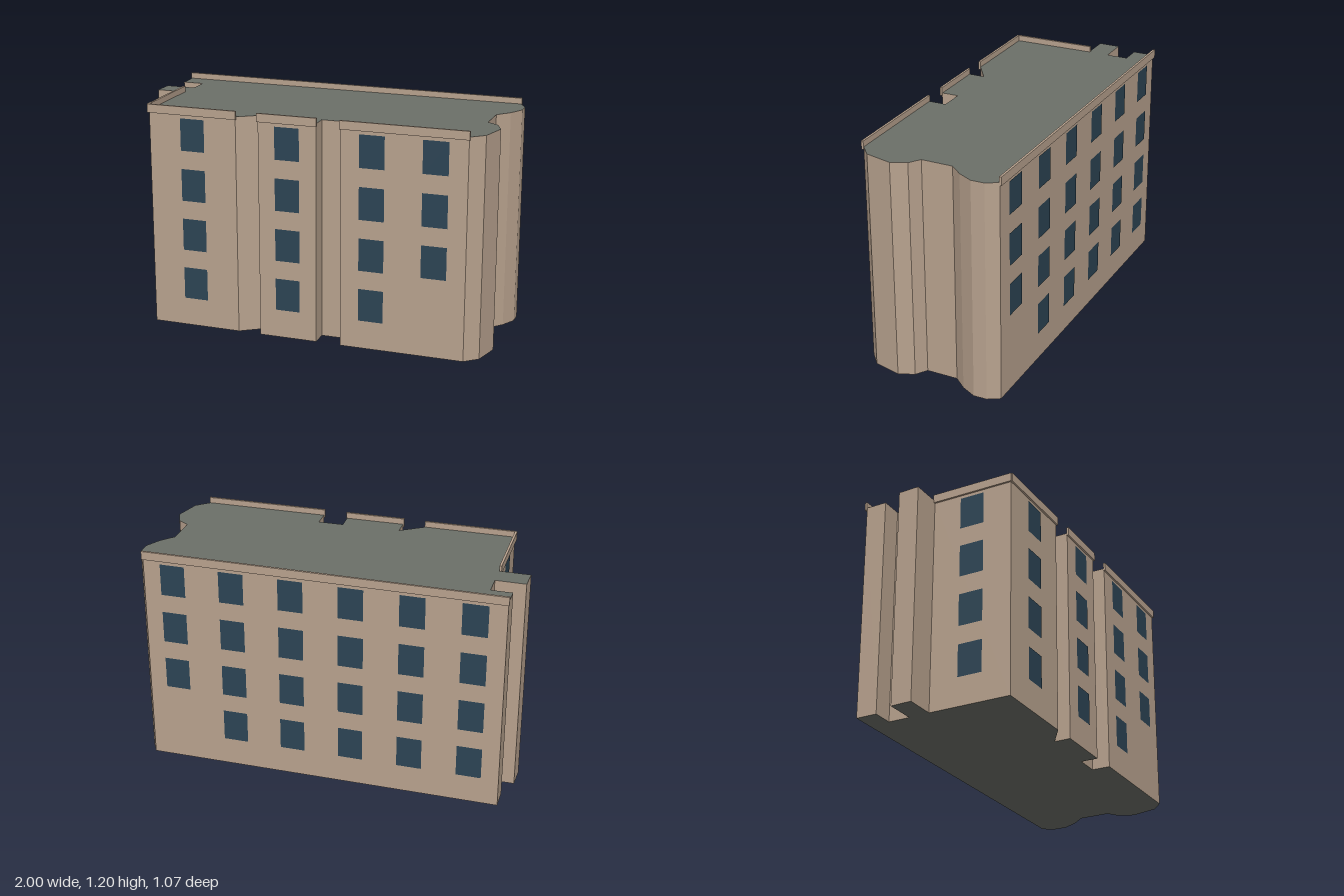
import * as THREE from 'three';

const ROOF_Y = 1.165;

// Footprint corners [x, z], running left to right along the front, then round the back
const FOOTPRINT = [
  [-0.755, 0.523], [-0.28, 0.445], [-0.17, 0.342], [-0.157, 0.428], [0.15, 0.376], [0.134, 0.286],
  [0.265, 0.264], [0.281, 0.359], [0.925, 0.25], [0.983, 0.18], [0.997, 0.03], [0.95, -0.043],
  [0.885, -0.072], [0.86, -0.238], [0.908, -0.315], [0.937, -0.4], [0.925, -0.47], [0.88, -0.525],
  [-0.99, -0.228], [-0.972, -0.117], [-0.862, -0.135], [-0.843, -0.022], [-1, 0.002],
  [-0.985, 0.115], [-0.828, 0.09],
];

// Walls with parapets: start corner, window positions along the wall, column without a ground-floor window
const FACADES = [
  { name: 'frontLeftBay', start: 0, columns: 1 },
  { name: 'frontMiddleBay', start: 3, columns: 1 },
  { name: 'frontRightBay', start: 7, columns: 2, skip: 1 },
  { name: 'back', start: 17, columns: 6, skip: 0 },
  { name: 'side', start: 24, columns: 1 },
];

export function createModel() {
  const model = new THREE.Group();
  model.name = 'apartmentBlock';
  const wall = new THREE.MeshStandardMaterial({ color: 0xb8a28e, flatShading: true });
  const roof = new THREE.MeshStandardMaterial({ color: 0x6b6f68 });
  const glass = new THREE.MeshStandardMaterial({ color: 0x2c4454 });

  // Building body: roof and base caps, masonry sides
  const outline = new THREE.Shape(FOOTPRINT.map(([x, z]) => new THREE.Vector2(x, -z)));
  const bodyGeometry = new THREE.ExtrudeGeometry(outline, { depth: ROOF_Y, bevelEnabled: false });
  bodyGeometry.rotateX(-Math.PI / 2);
  const body = new THREE.Mesh(bodyGeometry, [roof, wall]);
  body.name = 'building';
  model.add(body);

  const paneGeometry = new THREE.PlaneGeometry(0.132, 0.172);

  for (const { name, start, columns, skip } of FACADES) {
    const [ax, az] = FOOTPRINT[start];
    const [bx, bz] = FOOTPRINT[(start + 1) % FOOTPRINT.length];
    const length = Math.hypot(bx - ax, bz - az);

    // Local frame: x along the wall, z outward
    const facade = new THREE.Group();
    facade.name = name + 'Facade';
    facade.position.set(ax, 0, az);
    facade.rotation.y = Math.atan2(az - bz, bx - ax);
    model.add(facade);

    // Parapet strip around the roof edge
    const parapet = new THREE.Mesh(new THREE.BoxGeometry(length + 0.01, 0.045, 0.012), wall);
    parapet.name = name + 'Parapet';
    parapet.position.set(length / 2, 1.1735, 0.004);
    facade.add(parapet);

    // Windows on four floors
    for (let column = 0; column < columns; column++) {
      for (let floor = 0; floor < 4; floor++) {
        if (floor === 0 && column === skip) continue;
        const pane = new THREE.Mesh(paneGeometry, glass);
        pane.name = 'window';
        pane.position.set(length * (column + 0.5) / columns, 0.237 + 0.27 * floor, 0.003);
        facade.add(pane);
      }
    }
  }
  return model;
}
